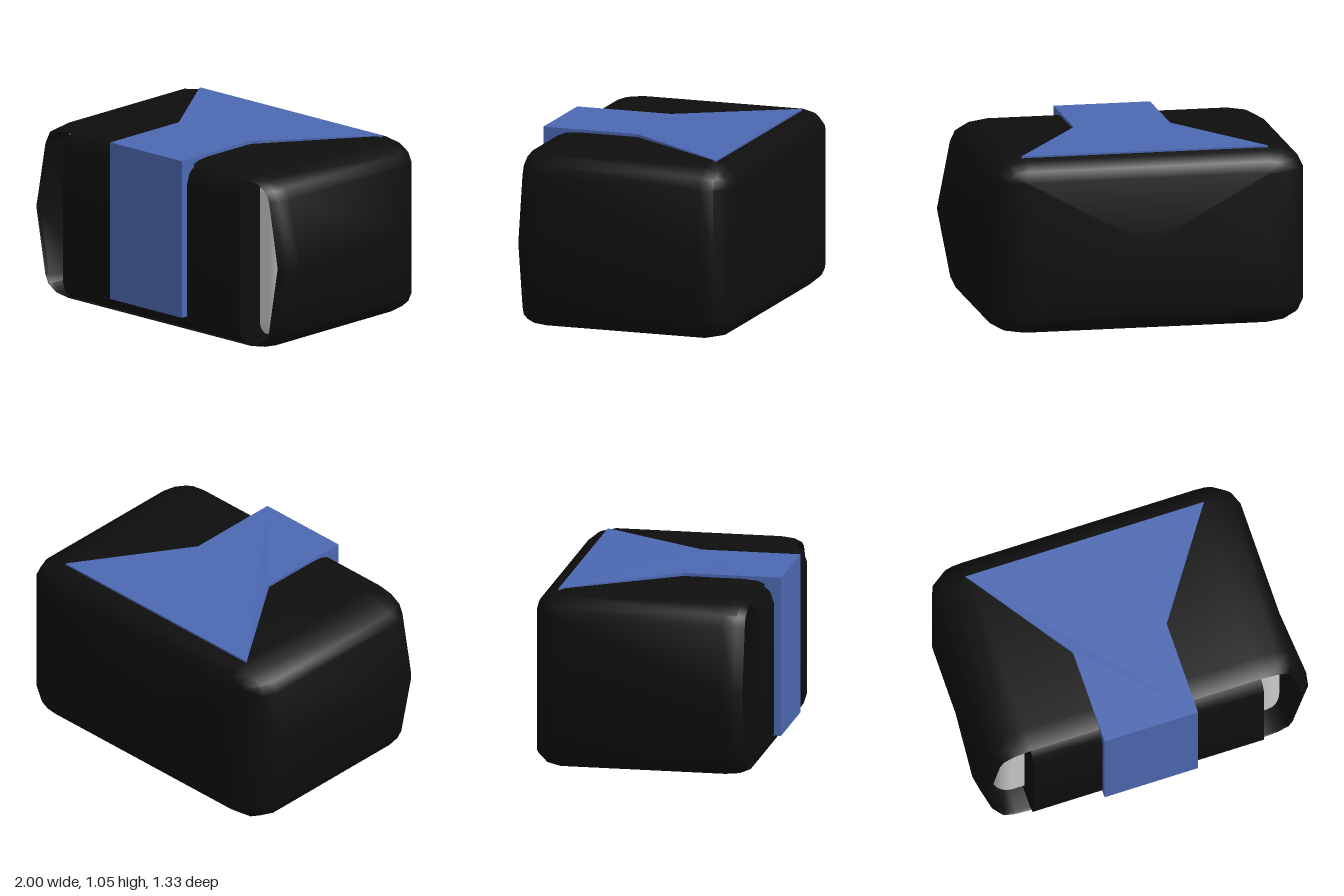
import * as THREE from 'three';
import { toCreasedNormals } from 'three/addons/utils/BufferGeometryUtils.js';
import { RoundedBoxGeometry } from 'three/addons/geometries/RoundedBoxGeometry.js';

const MID = 0.515; // half height of the body
const RX = 0.23, RY = 0.13, RZ = 0.16; // corner radii
const STEPS = 3;

const black = new THREE.MeshStandardMaterial({ color: 0x0e0e0e, side: THREE.DoubleSide });
const blue = new THREE.MeshStandardMaterial({ color: 0x4c68b2 });
const grey = new THREE.MeshStandardMaterial({ color: 0xcccccc });

function part(name, geometry, material) {
  const mesh = new THREE.Mesh(geometry, material);
  mesh.name = name;
  return mesh;
}

// Rounded rectangle, counter-clockwise, whose sides come to a point at mid height
function section(z, w, h, rx, ry, bulge) {
  const points = [];
  const corner = (sx, sy, start) => {
    for (let k = 0; k <= STEPS; k++) {
      const a = start + (k / STEPS) * Math.PI / 2;
      points.push([sx * (w - rx) + rx * Math.cos(a), MID + sy * (h - ry) + ry * Math.sin(a), z]);
    }
  };
  points.push([w + bulge, MID, z]);
  corner(1, 1, 0);
  corner(-1, 1, Math.PI / 2);
  points.push([-w - bulge, MID, z]);
  corner(-1, -1, Math.PI);
  corner(1, -1, Math.PI * 1.5);
  return points;
}

// Skin over the sections, closed at the first one
function loft(rings) {
  const n = rings[0].length;
  const positions = rings.flat(2);
  const index = [];
  for (let i = 0; i < rings.length - 1; i++) {
    for (let j = 0; j < n; j++) {
      const a = i * n + j, b = i * n + (j + 1) % n;
      index.push(a, b, b + n, a, b + n, a + n);
    }
  }
  const centre = positions.length / 3;
  positions.push(0, MID, rings[0][0][2]);
  for (let j = 0; j < n; j++) index.push(centre, (j + 1) % n, j);
  const geometry = new THREE.BufferGeometry();
  geometry.setAttribute('position', new THREE.Float32BufferAttribute(positions, 3));
  geometry.setIndex(index);
  return toCreasedNormals(geometry, 0.7);
}

// Shell: rounded back, sides flaring to the front, rim folding inwards
function shellGeometry() {
  const rings = [];
  for (let k = STEPS; k >= 0; k--) {
    const a = (k / STEPS) * Math.PI / 2;
    const c = Math.max(Math.cos(a), 0.02);
    rings.push(section(-0.505 - RZ * Math.sin(a), 0.925 - RX * (1 - c),
      MID - RY * (1 - c), RX * c, RY * c, 0));
  }
  // z, inset, bulge
  const front = [[0.45, 0, 0.075], [0.53, 0.015, 0.075], [0.575, 0.05, 0.07],
    [0.56, 0.062, 0.065], [0.32, 0.062, 0]];
  for (const [z, inset, bulge] of front) {
    rings.push(section(z, 0.925 - inset, MID - inset * 0.5, RX - inset, RY - inset * 0.5, bulge));
  }
  return loft(rings);
}

// Raised middle of the front, rounded at its top and bottom edges
function frontPanelGeometry() {
  const shape = new THREE.Shape();
  const zFront = 0.625, low = 0.002, high = 1.028;
  shape.moveTo(0, low);
  for (let k = 0; k <= STEPS; k++) {
    const a = -Math.PI / 2 + (k / STEPS) * Math.PI / 2;
    shape.lineTo(zFront - RZ + RZ * Math.cos(a), low + RY + RY * Math.sin(a));
  }
  for (let k = 0; k <= STEPS; k++) {
    const a = (k / STEPS) * Math.PI / 2;
    shape.lineTo(zFront - RZ + RZ * Math.cos(a), high - RY + RY * Math.sin(a));
  }
  shape.lineTo(0, high);
  const geometry = new THREE.ExtrudeGeometry(shape, { depth: 1.38, bevelEnabled: false });
  geometry.translate(0, 0, -0.69);
  geometry.rotateY(-Math.PI / 2); // profile x becomes z
  geometry.rotateY(Math.PI);
  geometry.scale(1, 1, Math.sign(geometryFront(geometry)));
  return toCreasedNormals(geometry, 0.7);
}

// Larger of the two z extents, with its sign
function geometryFront(geometry) {
  geometry.computeBoundingBox();
  const { min, max } = geometry.boundingBox;
  return max.z > -min.z ? max.z : min.z;
}

// Flat band on the top that fans out and sinks slightly towards the back
function topBandGeometry() {
  const outline = [[-0.28, 0.667], [0.28, 0.667], [0.28, 0.1], [0.715, -0.535], [-0.715, -0.535], [-0.28, 0.1]];
  const shape = new THREE.Shape(outline.map(([x, z]) => new THREE.Vector2(x, -z)));
  const geometry = new THREE.ExtrudeGeometry(shape, { depth: 0.045, bevelEnabled: false });
  geometry.rotateX(-Math.PI / 2);
  geometry.translate(0, 1.002, 0);
  const p = geometry.attributes.position;
  for (let i = 0; i < p.count; i++) {
    const sink = Math.max(0, (0.1 - p.getZ(i)) / 0.635) * 0.013;
    p.setY(i, p.getY(i) - sink);
  }
  geometry.computeVertexNormals();
  return geometry;
}

export function createModel() {
  const model = new THREE.Group();
  model.name = 'case';

  model.add(part('shell', shellGeometry(), black));
  model.add(part('frontPanel', frontPanelGeometry(), black));

  // Light core, seen in the two upright grooves beside the front panel
  const core = part('core', new RoundedBoxGeometry(1.73, 0.96, 0.6, 3, 0.1), grey);
  core.position.set(0, 0.52, 0.156);
  model.add(core);

  // Band over the top and down the front
  const band = new THREE.Group();
  band.name = 'band';
  band.add(part('topBand', topBandGeometry(), blue));
  const frontBand = part('frontBand', new THREE.BoxGeometry(0.56, 0.9, 0.267), blue);
  frontBand.position.set(0, 0.57, 0.5335);
  band.add(frontBand);
  model.add(band);

  return model;
}
